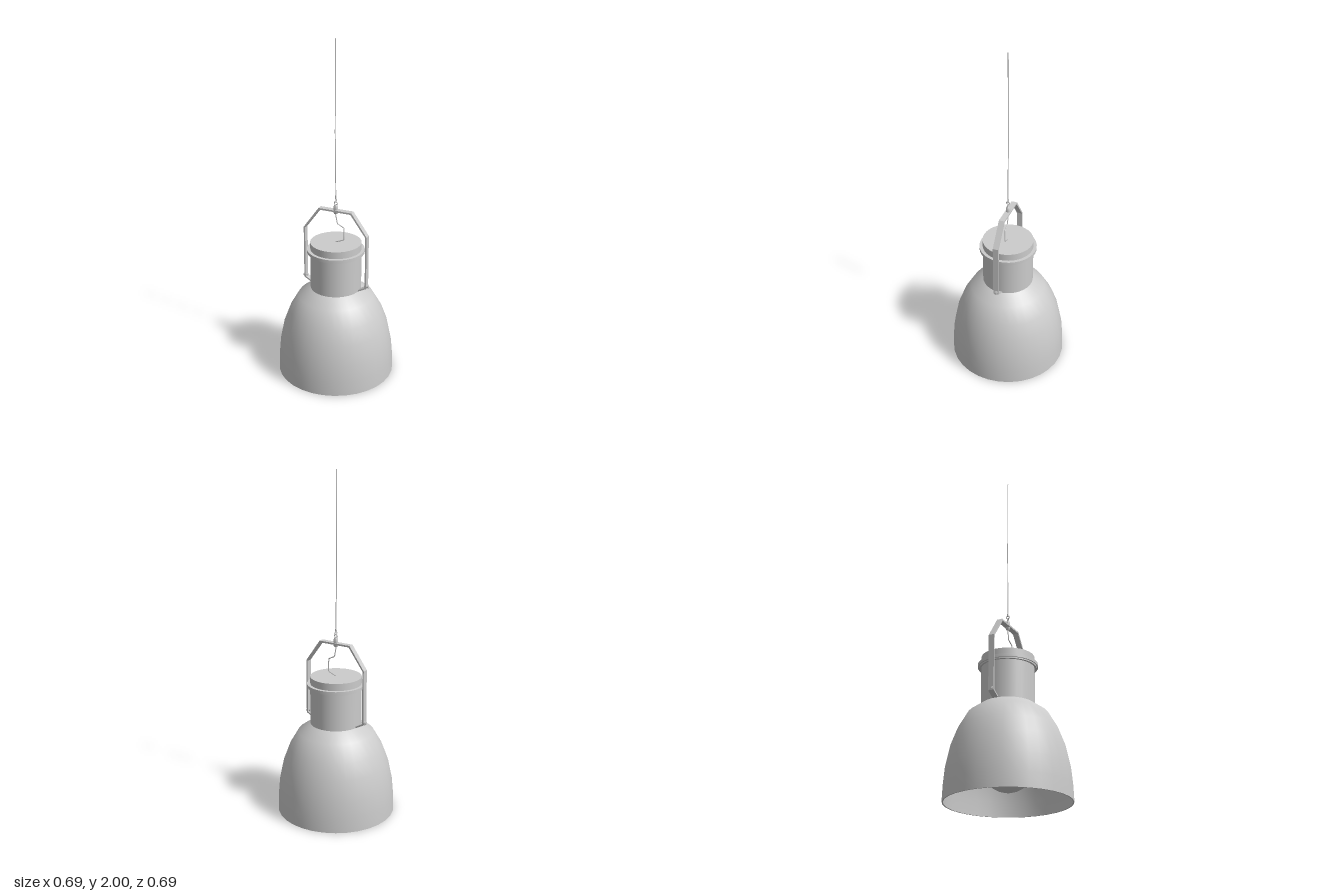
import * as THREE from 'three';
import { toCreasedNormals } from 'three/addons/utils/BufferGeometryUtils.js';

const SIDES = 32;

export function createModel() {
  const lamp = new THREE.Group();
  lamp.name = 'pendantLamp';
  const grey = new THREE.MeshStandardMaterial({ color: 0xcccccc });

  const add = (name, geometry, x = 0, y = 0, z = 0) => {
    const mesh = new THREE.Mesh(geometry, grey);
    mesh.name = name;
    mesh.position.set(x, y, z);
    lamp.add(mesh);
    return mesh;
  };
  const vectors = (pairs) => pairs.map(([x, y]) => new THREE.Vector2(x, y));
  const lathe = (pairs, sides = SIDES, crease = 0.7) =>
    toCreasedNormals(new THREE.LatheGeometry(vectors(pairs), sides), crease);

  // Bell shade: thin wall, inner surface down, rim, outer surface up
  const bell = [[0.347, 0], [0.344, 0.085], [0.335, 0.185], [0.31, 0.305],
    [0.276, 0.395], [0.222, 0.488], [0.148, 0.54]];
  const inner = bell.map(([r, y]) => [r - 0.007, y === 0 ? 0 : y - 0.004]).reverse();
  add('shade', lathe([...inner, ...bell]));

  // Neck housing with its cap and flange
  add('neck', new THREE.CylinderGeometry(0.15, 0.15, 0.235, SIDES), 0, 0.6525);
  add('flange', lathe([[0.148, 0.757], [0.162, 0.757], [0.162, 0.764], [0.169, 0.764],
    [0.169, 0.782], [0.148, 0.782]]));
  add('cap', new THREE.CylinderGeometry(0.15, 0.15, 0.055, SIDES), 0, 0.7965);

  // Bulb: round globe narrowing into the socket
  const globe = [];
  for (let i = 0; i <= 12; i++) {
    const a = -Math.PI / 2 + (i / 12) * Math.PI * 0.78;
    globe.push([Math.max(0, 0.143 * Math.cos(a)), 0.2 + 0.143 * Math.sin(a)]);
  }
  add('bulb', lathe([...globe, [0.06, 0.37], [0.05, 0.42]], 24, 1));
  add('socket', new THREE.CylinderGeometry(0.06, 0.06, 0.14, 24), 0, 0.475);

  // Folded strap bracket, outlined on the right half and mirrored
  const outer = [[0.147, 0.537], [0.2, 0.565], [0.2, 0.89], [0.103, 1.024]];
  const inside = [[0.097, 1.014], [0.191, 0.887], [0.191, 0.571], [0.147, 0.546]];
  const mirror = (pairs) => pairs.map(([x, y]) => [-x, y]).reverse();
  const outline = [...outer, ...mirror(outer), ...mirror(inside), ...inside];
  const strap = new THREE.ExtrudeGeometry(new THREE.Shape(vectors(outline)),
    { depth: 0.033, bevelEnabled: false });
  add('bracket', strap, 0, 0, -0.0165);

  // Bolts at the feet of the bracket
  for (const side of [-1, 1]) {
    const washer = add('washer', new THREE.CylinderGeometry(0.013, 0.013, 0.006, 12), side * 0.201, 0.575);
    const bolt = add('bolt', new THREE.CylinderGeometry(0.009, 0.009, 0.026, 6), side * 0.197, 0.575);
    washer.rotation.z = bolt.rotation.z = Math.PI / 2;
  }

  // Gland through the bracket and hanging eye
  add('gland', lathe([[0, 1.0], [0.01, 1.0], [0.013, 1.006], [0.013, 1.045],
    [0.007, 1.056], [0, 1.056]], 16));
  add('eye', new THREE.TorusGeometry(0.009, 0.003, 8, 16), 0, 1.064);
  const link = add('hookLink', new THREE.TorusGeometry(0.009, 0.003, 8, 16), 0, 1.08);
  link.rotation.y = Math.PI / 2;
  add('hookCrimp', new THREE.CylinderGeometry(0.004, 0.005, 0.025, 8), 0, 1.098);

  // Suspension wire, slightly bowed, and the kinked supply cord
  const cord = (name, pairs, radius) => {
    const path = new THREE.CurvePath();
    const points = pairs.map(([x, y]) => new THREE.Vector3(x, y, 0));
    for (let i = 1; i < points.length; i++) path.add(new THREE.LineCurve3(points[i - 1], points[i]));
    add(name, new THREE.TubeGeometry(path, 60, radius, 8));
  };
  cord('suspensionWire', [[0, 1.09], [-0.004, 1.48], [-0.002, 2]], 0.0028);
  cord('supplyCord', [[-0.004, 1.01], [0.01, 0.94], [0.05, 0.92], [0.053, 0.845], [0, 0.824]], 0.003);

  return lamp;
}
